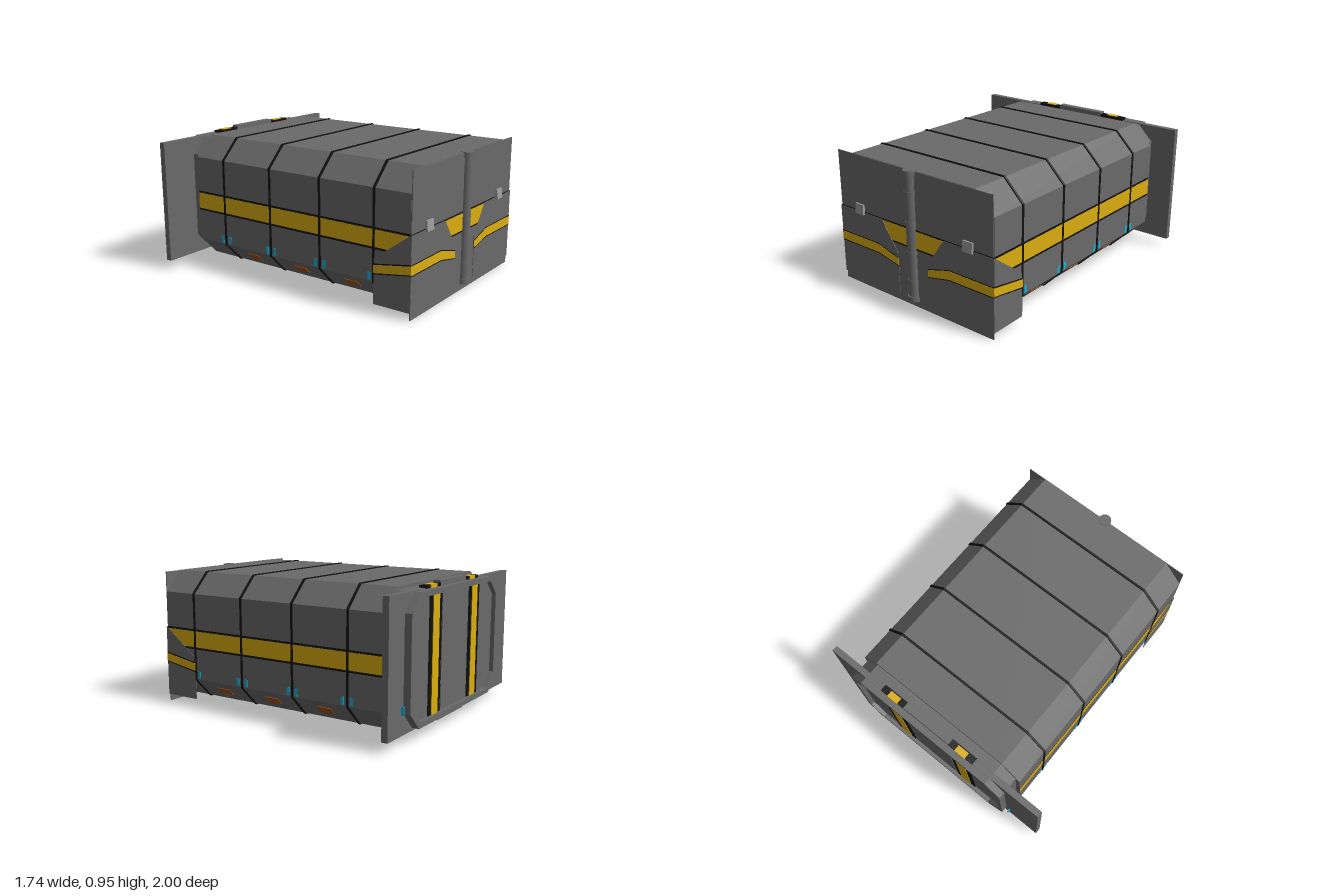
import * as THREE from 'three';

const CX = 0.043;   // the container sits slightly off the plate's centre
const HALF = 0.675; // half width of the container
const mat = (color) => new THREE.MeshStandardMaterial({ color, side: THREE.DoubleSide });

export function createModel() {
  const root = new THREE.Group();
  const grey = mat(0x6a6a6a), light = mat(0x9c9c9c), black = mat(0x111111);
  const yellow = mat(0xdcae10), cyan = mat(0x10b8e0), orange = mat(0xa85008);

  const add = (name, geo, m, parent = root) => {
    const mesh = new THREE.Mesh(geo, m);
    mesh.name = name;
    parent.add(mesh);
    return mesh;
  };
  // Box given by its limits
  const box = (name, m, x0, x1, y0, y1, z0, z1, parent = root) => {
    const mesh = add(name, new THREE.BoxGeometry(x1 - x0, y1 - y0, z1 - z0), m, parent);
    mesh.position.set((x0 + x1) / 2, (y0 + y1) / 2, (z0 + z1) / 2);
    return mesh;
  };
  const poly = (pts) => new THREE.Shape(pts.map(([x, y]) => new THREE.Vector2(x, y)));
  const extrude = (shape, depth) => new THREE.ExtrudeGeometry(shape, { depth, bevelEnabled: false });
  const octPoints = (h, y0, y1, c) => [
    [-h + c, y0], [h - c, y0], [h, y0 + c], [h, y1 - c],
    [h - c, y1], [-h + c, y1], [-h, y1 - c], [-h, y0 + c]];
  // Octagonal prism, optionally hollow
  const prism = (name, m, h, y0, y1, c, z0, z1, wall = 0) => {
    const shape = poly(octPoints(h, y0, y1, c));
    if (wall) shape.holes.push(poly(octPoints(h - wall, y0 + wall, y1 - wall, c - wall * 0.4)));
    const mesh = add(name, extrude(shape, z1 - z0), m);
    mesh.position.set(CX, 0, z0);
    return mesh;
  };
  // Thin panel on the front, points in x and y from the container's centre line
  const frontPanel = (name, m, pts, z, depth = 0.003) => {
    add(name, extrude(poly(pts), depth), m).position.set(CX, 0, z - depth);
  };
  // Thin panel on one flank, points in z and y
  const sidePanel = (name, m, pts, s, out, depth = 0.003) => {
    const mesh = add(name, extrude(poly(pts), depth), m);
    mesh.rotation.y = -Math.PI / 2;
    mesh.position.x = CX + s * (HALF + out) + (s > 0 ? 0 : depth);
  };
  const rect = (a, b, y0, y1) => [[a, y0], [b, y0], [b, y1], [a, y1]];

  // Octagonal container with black bands
  prism('containerBody', grey, HALF, 0.052, 0.942, 0.142, -0.837, 0.952);
  for (const z of [0.688, 0.266, -0.156, -0.58])
    prism('band', black, HALF + 0.005, 0.046, 0.948, 0.143, z - 0.008, z + 0.008, 0.02);
  box('bottomSeam', black, CX - 0.006, CX + 0.006, 0.048, 0.054, -0.837, 0.95);

  // Flat front sheet and its seam
  box('frontSheet', grey, CX - 0.672, CX + 0.672, 0, 0.94, 0.951, 0.957);
  box('frontSeam', black, CX - 0.675, CX + 0.675, 0.541, 0.55, 0.955, 0.9595);

  // Yellow trapezoid in the middle of the front
  frontPanel('frontStripe', yellow, [[-0.3, 0.42], [0.3, 0.42], [0.3, 0.538], [-0.3, 0.538]], 0.958);
  frontPanel('frontStripeEdge', black, rect(-0.3, 0.3, 0.41, 0.42), 0.9582);

  for (const s of [1, -1]) {
    const flip = (pts) => pts.map(([x, y]) => [s * x, y]);

    // Corner cowl: front leaf and side leaf, with a bent yellow stripe
    frontPanel('cowlFront', grey,
      flip([[0.134, 0.05], [0.679, 0.05], [0.679, 0.545], [0.275, 0.545], [0.134, 0.34]]), 0.961);
    frontPanel('cowlFrontEdge', black,
      flip([[0.134, 0.25], [0.315, 0.286], [0.68, 0.286], [0.68, 0.36], [0.315, 0.36], [0.134, 0.31]]), 0.9618);
    frontPanel('cowlFrontStripe', yellow,
      flip([[0.134, 0.255], [0.315, 0.293], [0.681, 0.293], [0.681, 0.354], [0.315, 0.354], [0.134, 0.304]]), 0.9625);
    sidePanel('cowlSide', grey, [[0.96, 0.05], [0.69, 0.05], [0.69, 0.35], [0.96, 0.55]], s, 0.005);
    sidePanel('cowlSideEdge', black, [[0.961, 0.292], [0.69, 0.246], [0.69, 0.317], [0.961, 0.364]], s, 0.006);
    sidePanel('cowlSideStripe', yellow, [[0.962, 0.299], [0.69, 0.255], [0.69, 0.309], [0.962, 0.355]], s, 0.007);

    // Long flank stripe with black borders
    sidePanel('sideStripeEdge', black, rect(-0.837, 0.952, 0.41, 0.552), s, 0.001);
    sidePanel('sideStripe', yellow, rect(-0.837, 0.953, 0.424, 0.538), s, 0.002);

    // Marker lights in pairs beside each band
    for (const z of [0.656, 0.302, 0.232, -0.122, -0.188, -0.542, -0.61, -0.966])
      sidePanel('markerLight', cyan, rect(z - 0.011, z + 0.011, 0.2, 0.253), s, 0.003, 0.006);

    // Orange lamps on the lower slopes
    for (const z of [0.478, 0.054, -0.368]) {
      const lamp = add('slopeLamp', new THREE.BoxGeometry(0.006, 0.064, 0.107), orange);
      lamp.position.set(CX + s * (HALF - 0.071), 0.122, z);
      lamp.rotation.z = -s * Math.PI / 4;
    }

    // Front clasps
    const clasp = box('clasp', light, -0.039, 0.039, 0.53, 0.6, 0.957, 0.973);
    clasp.position.x = CX + s * 0.48;
    clasp.rotation.x = -0.1;
  }

  // Upright front rod with end caps and collars
  const rod = (name, r, y0, y1) =>
    add(name, new THREE.CylinderGeometry(r, r, y1 - y0, 20), grey).position.set(CX, (y0 + y1) / 2, 0.955);
  rod('rod', 0.038, 0.05, 0.94);
  rod('rodCap', 0.045, 0.045, 0.082);
  rod('rodCap', 0.045, 0.908, 0.945);
  for (const y of [0.19, 0.39, 0.595, 0.795]) rod('rodCollar', 0.041, y - 0.01, y + 0.01);

  // Rear neck, rim and wide mounting plate
  prism('rearNeck', grey, 0.642, 0.085, 0.92, 0.115, -0.97, -0.83);
  prism('rearRim', grey, 0.642, 0.085, 0.92, 0.115, -1, -0.965, 0.035);
  box('mountingPlate', grey, -0.87, 0.87, 0.067, 0.925, -0.952, -0.91);

  // Rear door: centre panel and two bordered yellow stripes
  box('doorCentre', grey, CX - 0.19, CX + 0.19, 0.12, 0.885, -0.974, -0.96);
  for (const s of [1, -1]) {
    const x = CX + s * 0.286;
    box('doorStripeEdge', black, x - 0.08, x + 0.08, 0.12, 0.885, -0.977, -0.96);
    box('doorStripe', yellow, x - 0.042, x + 0.042, 0.12, 0.885, -0.981, -0.96);
  }

  // Latches across the plate's upper and lower edges
  for (const [y0, y1, d] of [[0.9, 0.94, 1], [0.06, 0.1, -1]]) {
    const up = d > 0;
    box('latchBar', grey, CX - 0.19, CX + 0.19, up ? y0 : y0 - 0.012, up ? y1 + 0.014 : y1, -0.955, -0.905);
    for (const s of [1, -1]) {
      const x = CX + s * 0.286;
      box('latchBlock', black, x - 0.1, x + 0.1, y0, y1, -0.955, -0.907);
      box('latchStripe', yellow, x - 0.042, x + 0.042, y0 - (up ? 0 : 0.003), y1 + (up ? 0.003 : 0), -0.96, -0.915);
    }
  }
  return root;
}
